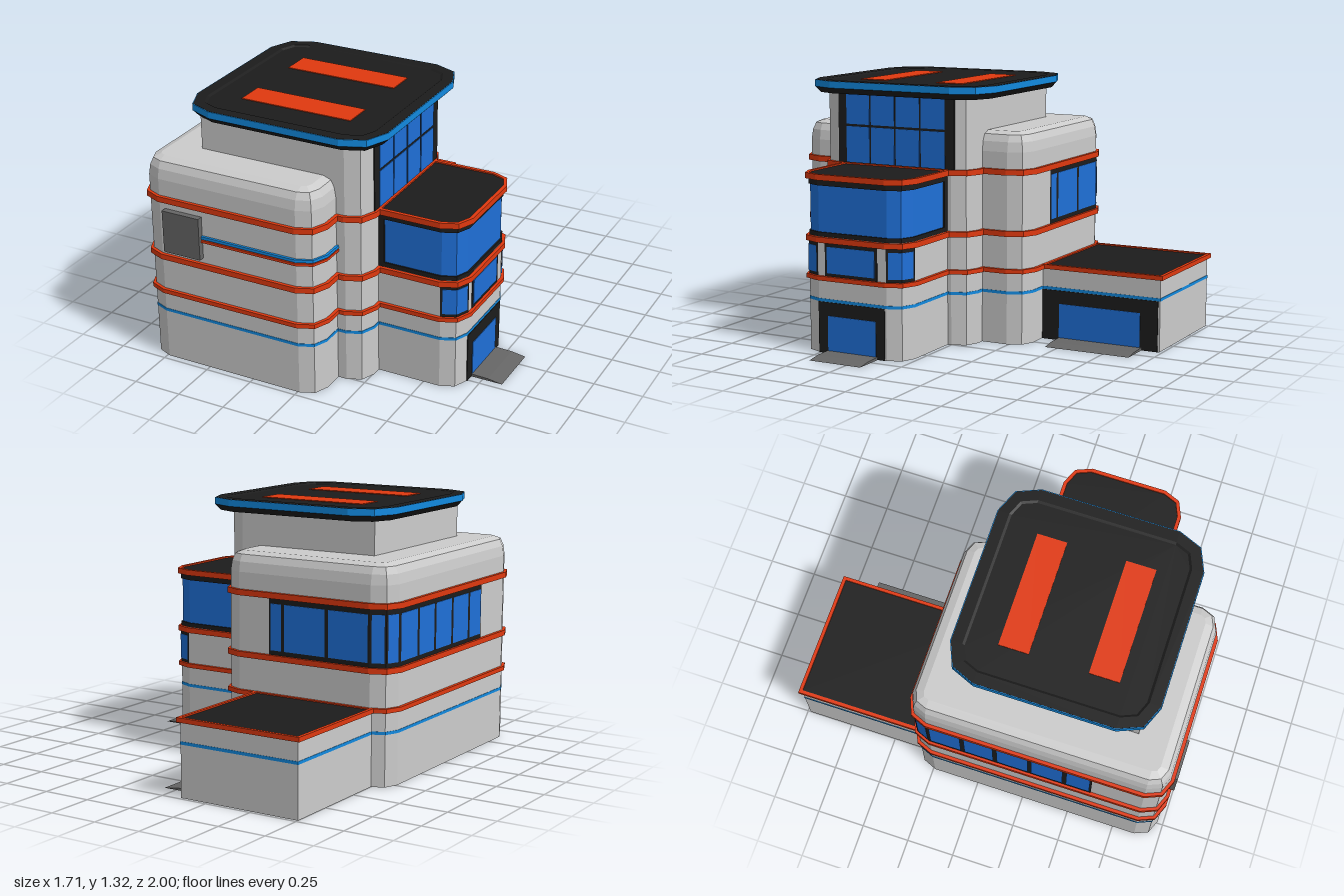
import * as THREE from 'three';

const GREY = 0xcccccc, ORANGE = 0xe0390f, GLASS = 0x1f70d8, BLUE = 0x128ae0, BLACK = 0x1c1c1c, DARK = 0x666666;

// Footprints: x and z limits, corner radius on the +x side (r) and on the -x side (rl)
const main = { x0: -0.84, x1: 0.11, z0: -0.34, z1: 0.97, r: 0.1, rl: 0.1 };
const tower = { x0: -0.62, x1: 0.255, z0: -0.1, z1: 0.76, r: 0.1, rl: 0 };
const wing = { x0: 0, x1: 0.685, z0: 0.02, z1: 0.61, r: 0.1, rl: 0 };
const annex = { x0: -0.75, x1: -0.1, z0: -0.985, z1: -0.2, r: 0, rl: 0 };
const pad = { x0: -0.7, x1: 0.335, z0: -0.205, z1: 0.83, r: 0.17, rl: 0.17 };

// Corner-rounded outline grown by o; corners run (+x+z), (-x+z), (-x-z), (+x-z)
function outline(f, o = 0) {
  const pts = [];
  [[1, 1], [-1, 1], [-1, -1], [1, -1]].forEach(([sx, sz], k) => {
    const base = sx > 0 ? f.r : f.rl;
    const r = base > 0 ? Math.max(base + o, 0.01) : 0;
    const cx = (sx > 0 ? f.x1 + o : f.x0 - o) - sx * r;
    const cz = (sz > 0 ? f.z1 + o : f.z0 - o) - sz * r;
    const seg = r > 0 ? 2 : 0;
    for (let i = 0; i <= seg; i++) {
      const t = (k + (seg ? i / seg : 0)) * Math.PI / 2;
      pts.push([cx + r * Math.cos(t), cz + r * Math.sin(t)]);
    }
  });
  return pts;
}

function addMesh(group, name, geometry, color, side = THREE.FrontSide) {
  const mesh = new THREE.Mesh(geometry, new THREE.MeshStandardMaterial({ color, flatShading: true, side }));
  mesh.name = name;
  group.add(mesh);
  return mesh;
}

function fromTriangles(v) {
  const g = new THREE.BufferGeometry();
  g.setAttribute('position', new THREE.Float32BufferAttribute(v, 3));
  g.computeVertexNormals();
  return g;
}

// Quad strip between two point rows [x, z] at heights ya and yb
function quads(v, a, ya, b, yb, closed) {
  const n = a.length;
  for (let i = 0; i < (closed ? n : n - 1); i++) {
    const j = (i + 1) % n;
    const A = [a[i][0], ya, a[i][1]], B = [a[j][0], ya, a[j][1]];
    const C = [b[j][0], yb, b[j][1]], D = [b[i][0], yb, b[i][1]];
    v.push(...A, ...D, ...C, ...A, ...C, ...B);
  }
}

// Closed block through levels [y, outward offset]
function block(group, name, f, levels, color) {
  const v = [], rings = levels.map(([, o]) => outline(f, o));
  for (let k = 0; k < levels.length - 1; k++) quads(v, rings[k], levels[k][0], rings[k + 1], levels[k + 1][0], true);
  const last = levels.length - 1;
  for (let i = 1; i < rings[0].length - 1; i++) {
    const cap = (k, ids) => ids.forEach(q => v.push(rings[k][q][0], levels[k][0], rings[k][q][1]));
    cap(0, [0, i, i + 1]);
    cap(last, [0, i + 1, i]);
  }
  return addMesh(group, name, fromTriangles(v), color);
}

// Thin raised strip following a wall; path(o) gives its points at offset o
function strip(group, name, path, o, y0, y1, color) {
  const v = [], out = path(o), inner = path(0);
  quads(v, inner, y0, out, y0, false);
  quads(v, out, y0, out, y1, false);
  quads(v, out, y1, inner, y1, false);
  return addMesh(group, name, fromTriangles(v), color, THREE.DoubleSide);
}

function box(group, name, x0, x1, y0, y1, z0, z1, color) {
  const m = addMesh(group, name, new THREE.BoxGeometry(x1 - x0, y1 - y0, z1 - z0), color);
  m.position.set((x0 + x1) / 2, (y0 + y1) / 2, (z0 + z1) / 2);
  return m;
}

// Shortens a path by d at both ends
function trim(pts, d) {
  const p = pts.map(q => q.slice()), n = p.length;
  const pull = (a, b) => {
    const l = Math.hypot(b[0] - a[0], b[1] - a[1]);
    return [a[0] + (b[0] - a[0]) * d / l, a[1] + (b[1] - a[1]) * d / l];
  };
  const first = pull(p[0], p[1]), end = pull(p[n - 1], p[n - 2]);
  p[0] = first;
  p[n - 1] = end;
  return p;
}

export function createModel() {
  const g = new THREE.Group();
  g.name = 'building';

  // Wall volumes
  block(g, 'mainBlock', main, [[0, 0], [0.98, 0], [1.03, -0.008], [1.065, -0.025], [1.08, -0.065]], GREY);
  block(g, 'tower', tower, [[0, 0], [1.255, 0]], GREY);
  block(g, 'wing', wing, [[0, 0], [0.585, 0]], GREY);
  block(g, 'annex', annex, [[0, 0], [0.375, 0]], GREY);

  // Orange floor bands and the thin blue line
  for (const f of [main, tower, wing]) {
    for (const [y0, y1] of [[0.367, 0.389], [0.556, 0.584]]) block(g, 'floorBand', f, [[y0, 0.017], [y1, 0.017]], ORANGE);
  }
  for (const f of [main, tower]) block(g, 'floorBand', f, [[0.866, 0.017], [0.895, 0.017]], ORANGE);
  for (const f of [main, tower, wing, annex]) block(g, 'blueLine', f, [[0.259, 0.002], [0.274, 0.002]], BLUE);

  // Parapets with recessed black roofs
  block(g, 'wingParapet', wing, [[0.866, 0.017], [0.895, 0.017], [0.895, -0.002], [0.885, -0.002]], ORANGE);
  block(g, 'wingRoof', wing, [[0.88, -0.002], [0.888, -0.002]], BLACK);
  block(g, 'annexParapet', annex, [[0.367, 0.015], [0.39, 0.015], [0.39, -0.003], [0.38, -0.003]], ORANGE);
  block(g, 'annexRoof', annex, [[0.375, -0.003], [0.383, -0.003]], BLACK);

  // Wing upper storey: wraparound glass between black sills
  block(g, 'wingSill', wing, [[0.584, 0], [0.607, 0]], BLACK);
  block(g, 'wingGlass', wing, [[0.607, -0.008], [0.838, -0.008]], GLASS);
  block(g, 'wingLintel', wing, [[0.838, 0], [0.868, 0]], BLACK);
  box(g, 'wingPost', 0.2, 0.285, 0.584, 0.868, 0.02, 0.61, BLACK);

  // Wing middle storey: two corner windows and a centre window
  for (const path of [o => outline(wing, o).slice(0, 3), o => outline(wing, o).slice(-3)]) {
    strip(g, 'cornerWindowFrame', path, 0.003, 0.389, 0.556, BLACK);
    strip(g, 'cornerWindowGlass', o => trim(path(o), 0.012), 0.006, 0.405, 0.537, GLASS);
  }
  box(g, 'centreWindowFrame', 0.67, 0.688, 0.389, 0.556, 0.17, 0.47, BLACK);
  box(g, 'centreWindowGlass', 0.67, 0.691, 0.405, 0.537, 0.185, 0.457, GLASS);

  // Doors and ramps
  const rampShape = (x, len) => new THREE.Shape([[x, 0], [x + len, 0], [x + len * 0.55, 0.011], [x, 0.014]].map(p => new THREE.Vector2(...p)));
  for (const [x, z0, z1, g0, g1, r0, r1] of [
    [0.685, 0.13, 0.51, 0.18, 0.455, 0.17, 0.46],
    [-0.1, -0.975, -0.335, -0.88, -0.435, -0.89, -0.435],
  ]) {
    box(g, 'doorFrame', x - 0.02, x + 0.004, 0, 0.258, z0, z1, BLACK);
    box(g, 'doorGlass', x - 0.02, x + 0.007, 0.008, 0.19, g0, g1, GLASS);
    const ramp = new THREE.ExtrudeGeometry(rampShape(x, 0.168), { depth: r1 - r0, bevelEnabled: false });
    addMesh(g, 'ramp', ramp, DARK).position.z = r0;
  }

  // Tower window with four by two panes
  box(g, 'towerWindowFrame', 0.24, 0.26, 0.893, 1.253, -0.02, 0.655, BLACK);
  for (let c = 0; c < 4; c++) {
    for (const [y0, y1] of [[0.898, 1.082], [1.094, 1.245]]) {
      const z = 0.032 + c * 0.146;
      box(g, 'towerPane', 0.245, 0.263, y0, y1, z, z + 0.136, GLASS);
    }
  }

  // Window band around the back corner of the main block
  const bandPath = o => [
    ...[0.61, 0.47, 0.29, 0.11, -0.06].map(z => [main.x0 - o, z]),
    ...outline(main, o).slice(6, 9),
    ...[-0.5, -0.25, -0.17].map(x => [x, main.z0 - o]),
  ];
  strip(g, 'bandWindowFrame', bandPath, 0.004, 0.584, 0.866, BLACK);
  for (let i = 0; i < bandPath(0).length - 1; i++) {
    strip(g, 'bandWindowPane', o => trim(bandPath(o).slice(i, i + 2), 0.01), 0.007, 0.607, 0.84, GLASS);
  }

  // Front panel with two trim lines running round the corner
  box(g, 'frontPanel', -0.71, -0.505, 0.61, 0.83, 0.95, 1, DARK);
  const linePath = o => [[main.x1 + o, 0.76], ...outline(main, o).slice(0, 3), [-0.51, main.z1 + o]];
  strip(g, 'upperTrimLine', linePath, 0.012, 0.716, 0.731, BLUE);
  strip(g, 'lowerTrimLine', linePath, 0.012, 0.698, 0.711, ORANGE);

  // Rooftop landing pad
  block(g, 'padUnderside', pad, [[1.25, -0.03], [1.28, -0.002]], BLACK);
  block(g, 'padRim', pad, [[1.28, 0], [1.314, 0], [1.314, -0.004], [1.3, -0.004]], BLUE);
  block(g, 'padDeck', pad, [[1.295, -0.004], [1.315, -0.004], [1.315, -0.06], [1.308, -0.072]], BLACK);
  for (const z of [0.015, 0.46]) box(g, 'padStripe', -0.48, 0.11, 1.305, 1.312, z, z + 0.15, ORANGE);

  return g;
}
